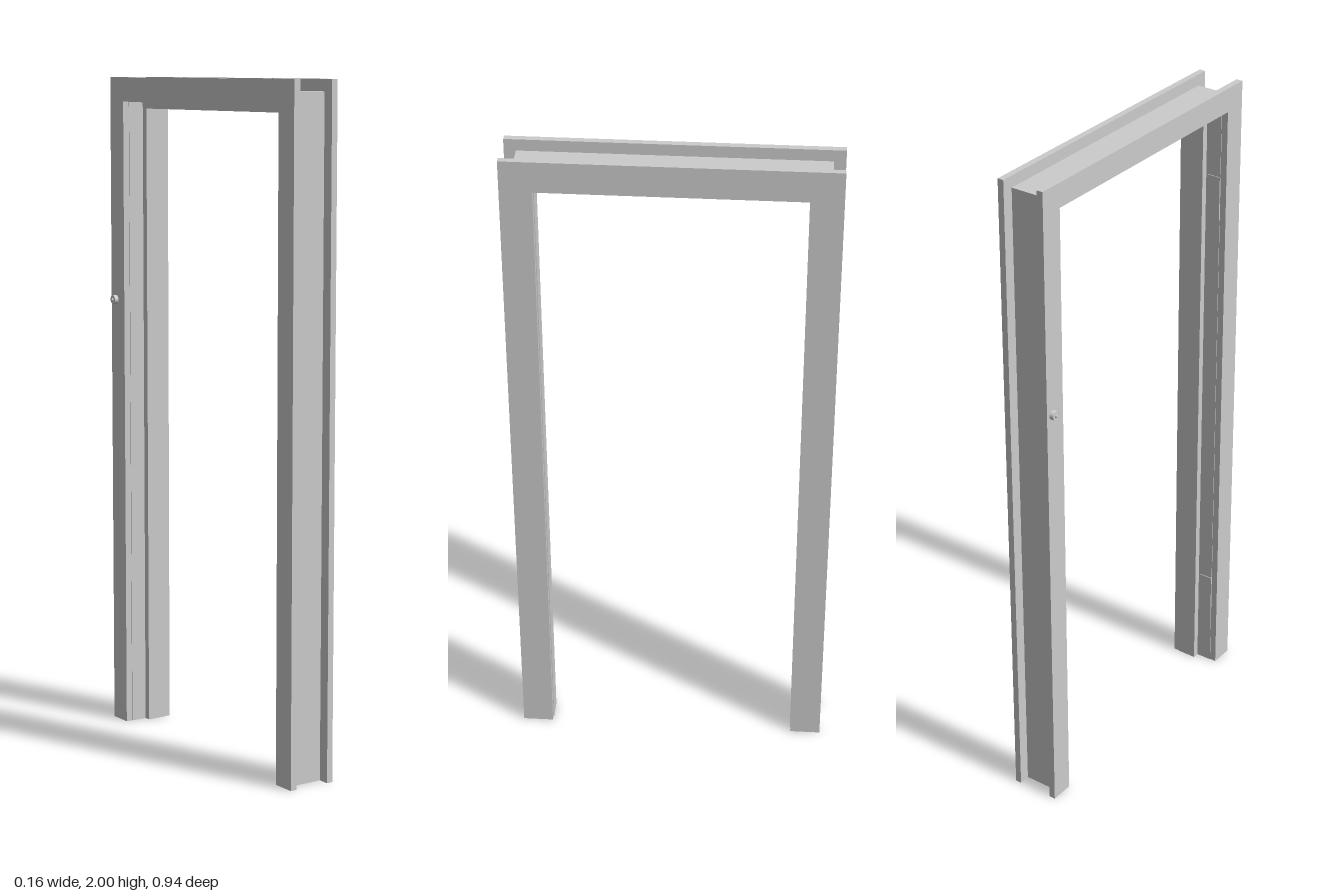
import * as THREE from 'three';

const HALF_OPENING = 0.375; // half width of the doorway
const OPENING_TOP = 1.906; // height of the doorway

// Sweeps a section of [x, outward offset] points up one jamb, across the head
// and down the other jamb with mitred corners. The feet stay open.
function sweep(section) {
  const stations = [[1, 0], [1, 1], [-1, 1], [-1, 0]]; // [z side, at the head?]
  const point = ([x, o], [side, top]) =>
    [x, top ? OPENING_TOP + o : 0, side * (HALF_OPENING + o)];
  const positions = [];
  for (let i = 0; i < section.length - 1; i++) {
    for (let s = 0; s < stations.length - 1; s++) {
      const a = point(section[i], stations[s]);
      const b = point(section[i + 1], stations[s]);
      const c = point(section[i + 1], stations[s + 1]);
      const d = point(section[i], stations[s + 1]);
      positions.push(...a, ...b, ...c, ...a, ...c, ...d);
    }
  }
  const geometry = new THREE.BufferGeometry();
  geometry.setAttribute('position', new THREE.Float32BufferAttribute(positions, 3));
  geometry.computeVertexNormals();
  return geometry;
}

export function createModel() {
  const model = new THREE.Group();
  model.name = 'doorFrame';
  const sheet = new THREE.MeshStandardMaterial({ color: 0xcccccc, side: THREE.DoubleSide });
  const solid = new THREE.MeshStandardMaterial({ color: 0xcccccc });

  const add = (name, geometry, material, parent = model) => {
    const mesh = new THREE.Mesh(geometry, material);
    mesh.name = name;
    parent.add(mesh);
    return mesh;
  };

  // Casing on the +x side, running to the edge of the opening
  add('leftCasing', sweep([
    [0.062, 0.06], [0.062, 0.094], [0.081, 0.094], [0.081, 0.002], [0.062, 0.002], [0.062, 0],
  ]), sheet);

  // Lining between the casings: a door stop, then the rebate for the door
  add('lining', sweep([[0.062, 0], [0.002, 0], [0.002, 0.02], [-0.047, 0.02]]), sheet);
  add('liningBack', sweep([[-0.047, 0.06], [0.062, 0.06]]), sheet);

  // Casing on the -x side, set back by the depth of the rebate
  add('rightCasing', sweep([
    [-0.047, 0.02], [-0.047, 0.022], [-0.067, 0.022], [-0.067, 0.094], [-0.047, 0.094], [-0.047, 0.06],
  ]), sheet);

  // Hinge leaves lying in the rebate of the front jamb
  for (const y of [0.25, 1.65]) {
    const leaf = add('hingeLeaf', new THREE.BoxGeometry(0.042, 0.14, 0.003), solid);
    leaf.position.set(-0.026, y, HALF_OPENING + 0.019);
  }

  // Round push button on the rear jamb
  const button = new THREE.Group();
  button.name = 'pushButton';
  button.position.set(-0.067, 1.325, -0.444);
  button.rotation.z = Math.PI / 2; // its axis points to -x
  model.add(button);
  const base = add('buttonBase', new THREE.CylinderGeometry(0.013, 0.014, 0.012, 24), solid, button);
  base.position.y = 0.006;
  const cap = add('buttonCap', new THREE.CylinderGeometry(0.004, 0.005, 0.005, 16), solid, button);
  cap.position.y = 0.0145;

  return model;
}
